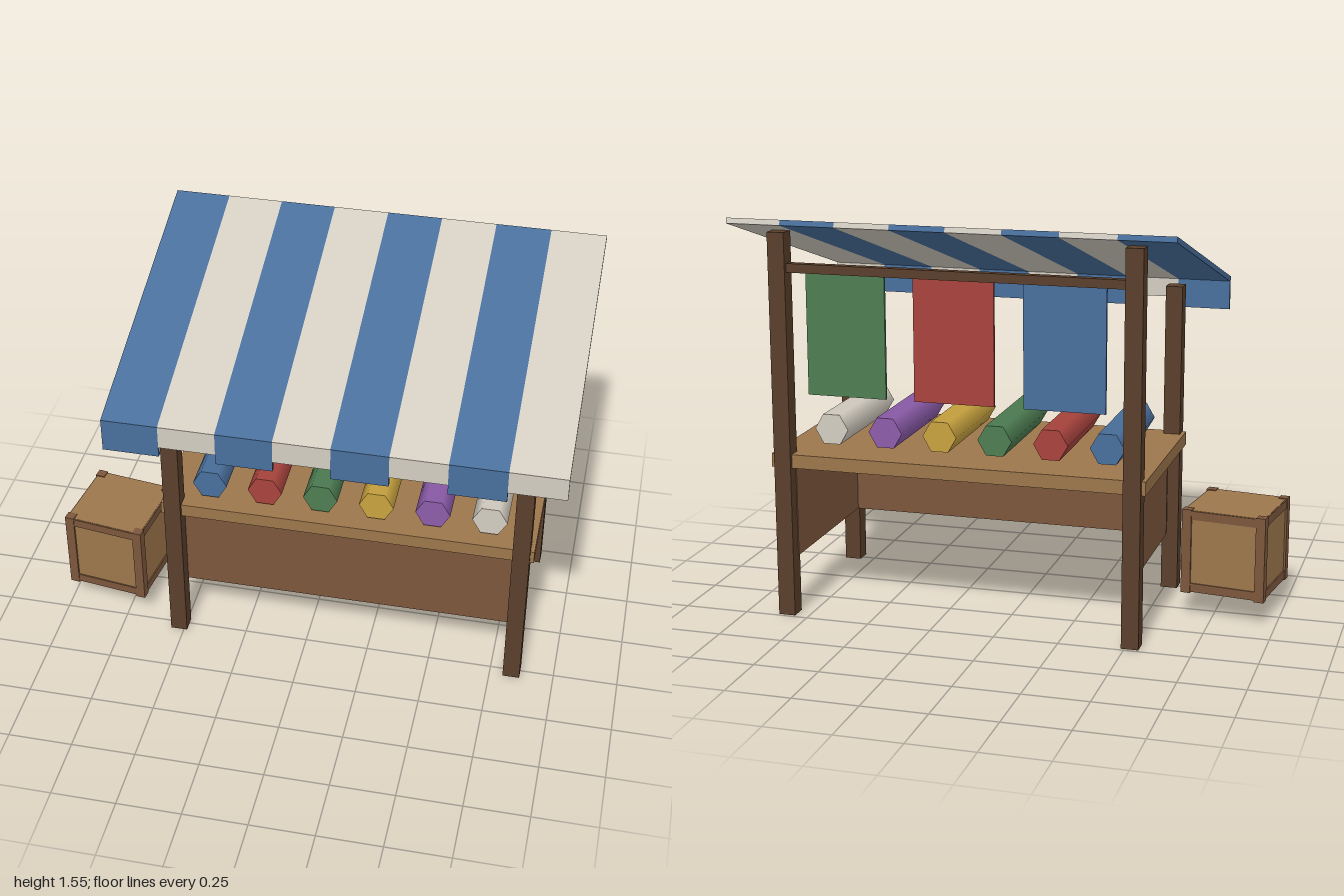
import * as THREE from 'three';

const mat = (name, color) => {
  const m = new THREE.MeshStandardMaterial({ color });
  m.name = name;
  return m;
};

export function createModel() {
  const darkWood = mat('dark wood', 0x5a3f2b);
  const brownWood = mat('brown wood', 0x7d573d);
  const lightWood = mat('light wood', 0x9d764c);
  const blue = mat('blue cloth', 0x4a709d);
  const red = mat('red cloth', 0xaa443e);
  const green = mat('green cloth', 0x4d7d52);
  const yellow = mat('yellow cloth', 0xc9a33f);
  const purple = mat('purple cloth', 0x8c5caa);
  const cream = mat('cream cloth', 0xd4cec2);

  const model = new THREE.Group();
  model.name = 'marketStall';
  const stall = new THREE.Group();
  stall.name = 'stall';
  stall.position.x = 0.158;
  model.add(stall);

  const box = (parent, name, material, size, pos) => {
    const mesh = new THREE.Mesh(new THREE.BoxGeometry(...size), material);
    mesh.name = name;
    mesh.position.set(...pos);
    parent.add(mesh);
    return mesh;
  };

  // Posts, taller at the back
  for (const side of [-1, 1]) {
    box(stall, 'frontPost', darkWood, [0.066, 1.23, 0.066], [side * 0.678, 0.615, 0.258]);
    box(stall, 'backPost', darkWood, [0.066, 1.49, 0.066], [side * 0.678, 0.745, -0.454]);
  }

  // Counter, open at the back and below
  box(stall, 'counterTop', lightWood, [1.453, 0.053, 0.748], [0, 0.6135, -0.098]);
  box(stall, 'frontPanel', brownWood, [1.33, 0.36, 0.027], [0, 0.41, 0.2165]);
  for (const side of [-1, 1])
    box(stall, 'sidePanel', brownWood, [0.026, 0.36, 0.64], [side * 0.655, 0.41, -0.117]);

  // Six-sided cloth rolls on the counter
  const rollGeometry = new THREE.CylinderGeometry(0.067, 0.067, 0.52, 6);
  rollGeometry.rotateY(Math.PI / 2).rotateX(Math.PI / 2);
  [blue, red, green, yellow, purple, cream].forEach((material, i) => {
    const roll = new THREE.Mesh(rollGeometry, material);
    roll.name = 'clothRoll';
    roll.position.set((i - 2.5) * 0.218, 0.706, -0.05);
    stall.add(roll);
  });

  // Hanging rail and cloths
  box(stall, 'hangingRail', darkWood, [1.356, 0.034, 0.034], [0, 1.356, -0.454]);
  [blue, red, green].forEach((material, i) => {
    box(stall, 'hangingCloth', material, [0.308, 0.468, 0.013], [(i - 1) * 0.419, 1.111, -0.454]);
  });

  // Sloping striped awning
  const awning = new THREE.Group();
  awning.name = 'awning';
  awning.position.set(0, 1.374, 0.002);
  awning.rotation.x = 0.286;
  stall.add(awning);
  const stripe = 1.683 / 8;
  for (let i = 0; i < 8; i++) {
    const isBlue = i % 2 === 0;
    const x = (i - 3.5) * stripe;
    const material = isBlue ? blue : cream;
    box(awning, 'awningStripe', material, [stripe, 0.021, 1.153], [x, 0, 0]);
    // Front valance flap, longer on blue stripes
    const bottom = isBlue ? 1.09 : 1.13;
    box(stall, 'valanceFlap', material, [stripe, 1.22 - bottom, 0.016], [x, (1.22 + bottom) / 2, 0.549]);
  }

  // Wooden crate beside the stall
  const crate = new THREE.Group();
  crate.name = 'crate';
  crate.position.set(-0.814, 0.263, 0.058);
  crate.rotation.y = -0.137;
  model.add(crate);
  box(crate, 'crateBody', lightWood, [0.314, 0.326, 0.314], [0, 0, 0]);
  for (const a of [-1, 1]) {
    for (const b of [-1, 1]) {
      box(crate, 'cratePost', brownWood, [0.037, 0.333, 0.037], [a * 0.1465, 0, b * 0.1465]);
      box(crate, 'crateRail', brownWood, [0.3, 0.034, 0.016], [0, a * 0.1445, b * 0.154]);
      box(crate, 'crateRail', brownWood, [0.016, 0.034, 0.3], [b * 0.154, a * 0.1445, 0]);
    }
  }

  return model;
}
